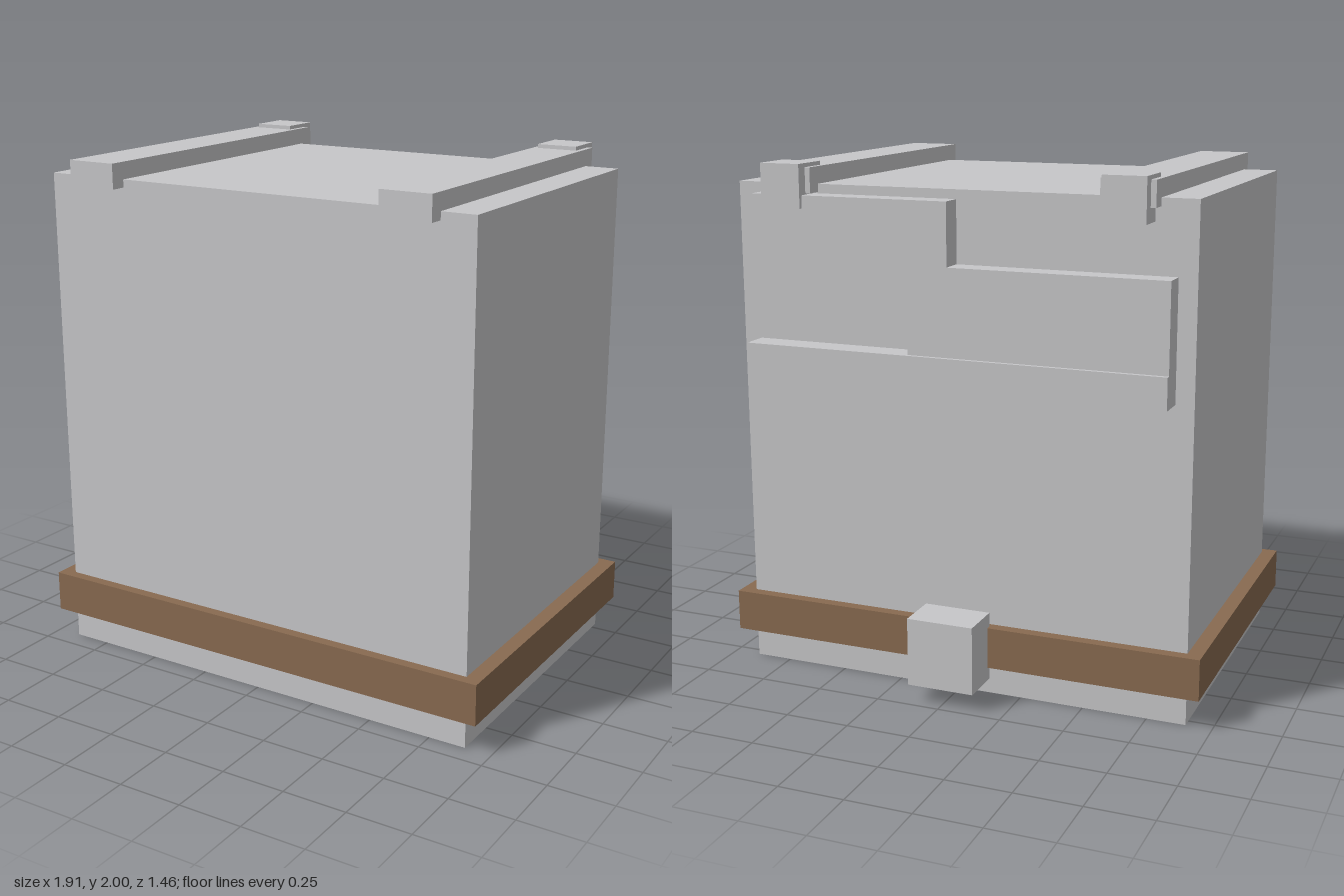
import * as THREE from 'three';

export function createModel() {
  const group = new THREE.Group();
  const grey = new THREE.MeshStandardMaterial({ color: 0xc7c7c9 });
  grey.name = 'light grey';
  const brown = new THREE.MeshStandardMaterial({ color: 0x886a50 });
  brown.name = 'brown';

  const add = (name, geometry, material) => {
    const mesh = new THREE.Mesh(geometry, material);
    mesh.name = name;
    group.add(mesh);
    return mesh;
  };

  // Box given by its limits on each axis
  const box = (name, material, [x0, x1], [y0, y1], [z0, z1]) => {
    const mesh = add(name, new THREE.BoxGeometry(x1 - x0, y1 - y0, z1 - z0), material);
    mesh.position.set((x0 + x1) / 2, (y0 + y1) / 2, (z0 + z1) / 2);
  };

  // Main block and the belt around its foot
  box('body', grey, [-0.9, 0.895], [0, 1.92], [-0.537, 0.67]);
  box('belt', brown, [-0.957, 0.953], [0.12, 0.28], [-0.58, 0.71]);
  box('buckle', grey, [-0.133, 0.13], [0.07, 0.335], [-0.73, -0.56]);

  // Straps over the top, each with a clip at the back
  for (const [side, x] of [['left', 0.66], ['right', -0.663]]) {
    box(side + 'Strap', grey, [x - 0.1, x + 0.1], [1.89, 1.985], [-0.597, 0.73]);
    box(side + 'Clip', grey, [x - 0.08, x + 0.08], [1.837, 2], [-0.643, -0.48]);
  }

  // Stepped back panel with a narrow slot above the ledge
  const outline = [
    [-0.83, 1.32], [0.16, 1.32], [0.16, 1.36], [0.79, 1.36],
    [0.79, 1.885], [0, 1.885], [0, 1.65], [-0.83, 1.65],
  ].map(([x, y]) => new THREE.Vector2(x, y));
  const panel = new THREE.ExtrudeGeometry(new THREE.Shape(outline), { depth: 0.09, bevelEnabled: false });
  add('backPanel', panel, grey).position.z = -0.627;
  box('backLedge', grey, [-0.83, 0.825], [1.2, 1.32], [-0.643, -0.535]);

  return group;
}
